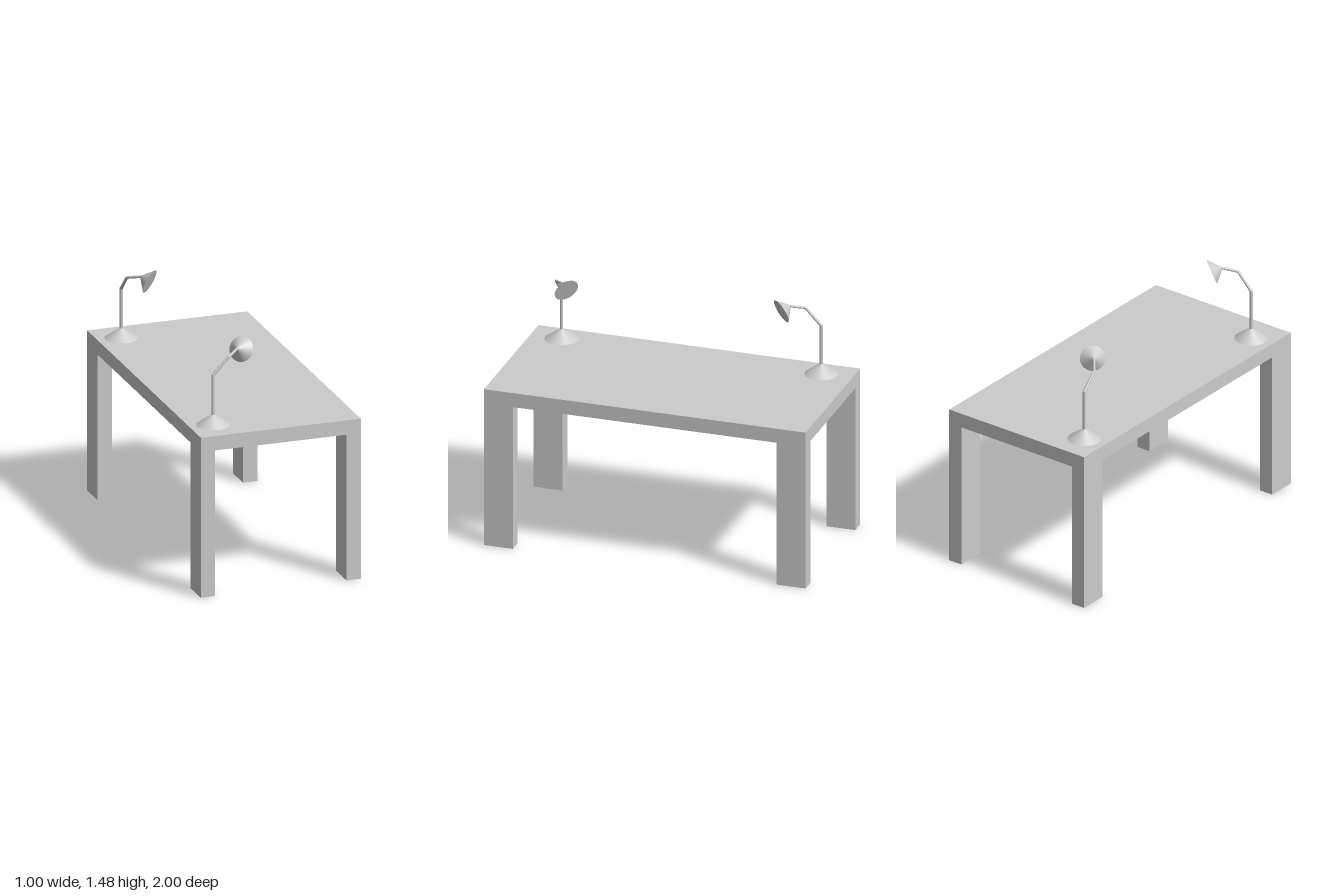
import * as THREE from 'three';

const grey = new THREE.MeshStandardMaterial({ color: 0xcccccc });

function part(name, geometry, parent, x = 0, y = 0, z = 0) {
  const mesh = new THREE.Mesh(geometry, grey);
  mesh.name = name;
  mesh.position.set(x, y, z);
  parent.add(mesh);
  return mesh;
}

// Round bar (or cone) running from point a to point b
function bar(name, a, b, ra, rb, parent, sides = 16) {
  const dir = b.clone().sub(a);
  const mid = a.clone().add(b).multiplyScalar(0.5);
  const mesh = part(name, new THREE.CylinderGeometry(rb, ra, dir.length(), sides), parent, mid.x, mid.y, mid.z);
  mesh.quaternion.setFromUnitVectors(new THREE.Vector3(0, 1, 0), dir.normalize());
  return mesh;
}

// Desk lamp standing at its own origin, arm reaching along +x
function createLamp() {
  const lamp = new THREE.Group();
  part('lampBase', new THREE.ConeGeometry(0.1, 0.07, 40), lamp, 0, 0.035, 0);

  const joints = [[0, 0.03, 0], [0, 0.31, 0], [0.097, 0.41, 0], [0.172, 0.434, -0.06]]
    .map(p => new THREE.Vector3(...p));
  const radii = [0.01, 0.01, 0.008, 0.008];
  const names = ['lampStem', 'lowerArm', 'upperArm'];
  names.forEach((name, i) => bar(name, joints[i], joints[i + 1], radii[i], radii[i + 1], lamp));

  // Elbows between the arm pieces
  for (const i of [1, 2]) {
    const { x, y, z } = joints[i];
    part('elbow', new THREE.SphereGeometry(radii[i], 16, 10), lamp, x, y, z);
  }

  // Conical shade, closed at its wide end
  const apex = new THREE.Vector3(0.169, 0.438, -0.056);
  const rim = new THREE.Vector3(0.213, 0.412, -0.102);
  bar('lampShade', rim, apex, 0.076, 0, lamp, 40);
  return lamp;
}

export function createModel() {
  const model = new THREE.Group();
  model.name = 'tableWithLamps';

  // Table
  part('tableTop', new THREE.BoxGeometry(1, 0.09, 2), model, 0, 0.955, 0);
  for (const sx of [-1, 1]) {
    for (const sz of [-1, 1]) {
      part('leg', new THREE.BoxGeometry(0.09, 0.91, 0.18), model, sx * 0.455, 0.455, sz * 0.91);
    }
  }

  // Two lamps, the back one turned a quarter
  const frontLamp = createLamp();
  frontLamp.name = 'frontLamp';
  frontLamp.position.set(-0.355, 1, 0.807);
  const backLamp = createLamp();
  backLamp.name = 'backLamp';
  backLamp.position.set(-0.355, 1, -0.807);
  backLamp.rotation.y = -Math.PI / 2;
  model.add(frontLamp, backLamp);

  return model;
}
